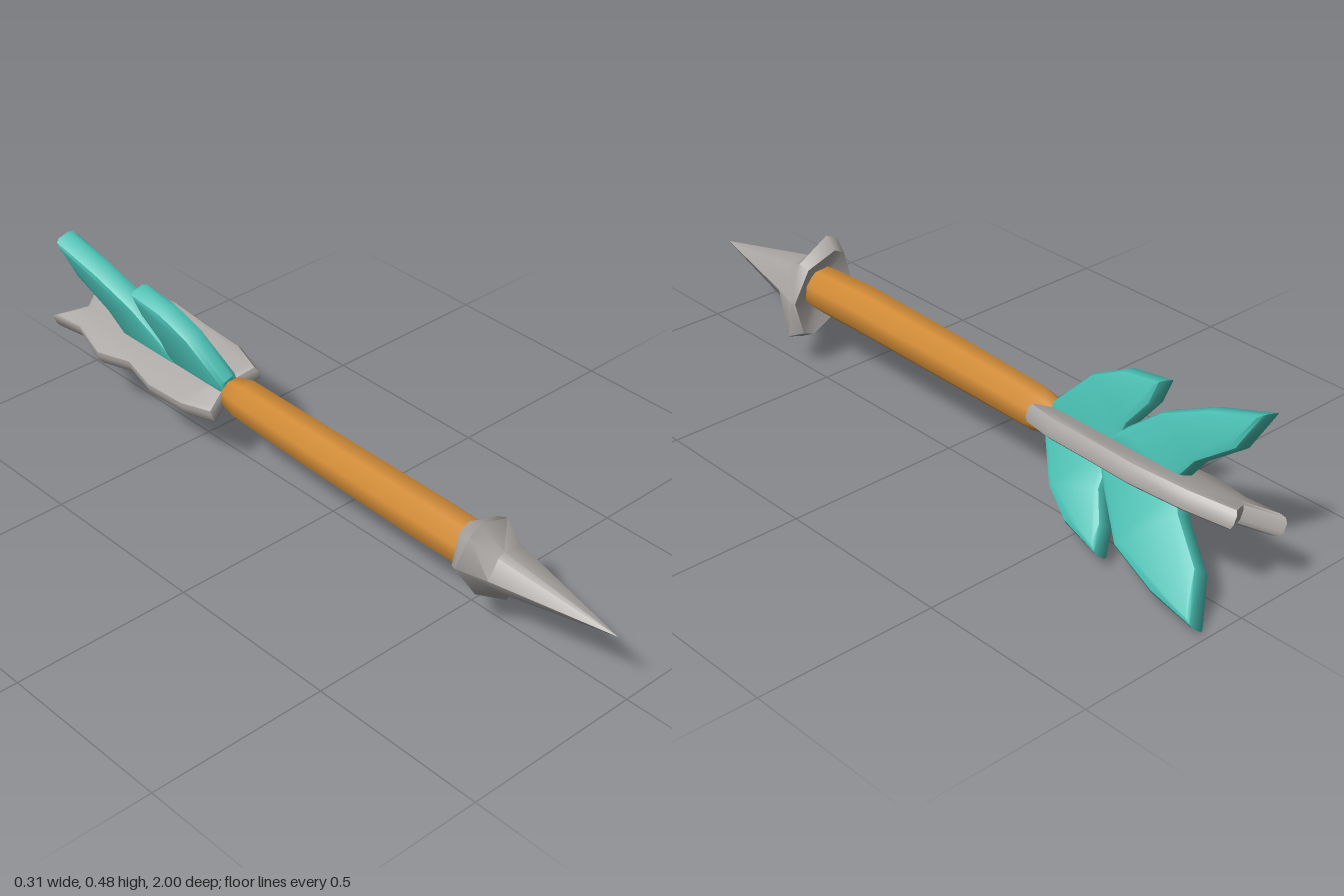
import * as THREE from 'three';
import { toCreasedNormals } from 'three/addons/utils/BufferGeometryUtils.js';

const CENTRE = [-0.045, 0.215];

// Skin a list of rings, ordered from front to back, each running anticlockwise seen from the front
function loft(rings, crease) {
  const n = rings[0].length;
  const index = [];
  for (let i = 0; i < rings.length - 1; i++) {
    for (let j = 0; j < n; j++) {
      const a = i * n + j, b = i * n + (j + 1) % n;
      index.push(a, a + n, b, b, a + n, b + n);
    }
  }
  const geo = new THREE.BufferGeometry();
  geo.setAttribute('position', new THREE.Float32BufferAttribute(rings.flat(2), 3));
  geo.setIndex(index);
  return toCreasedNormals(geo, crease);
}

// Thick bevelled blade; outline is [distance from the axis, z], direction is in the xy plane
function blade(outline, dx, dy, thickness) {
  const shape = new THREE.Shape(outline.map(([u, z]) => new THREE.Vector2(u, z)));
  const bevel = 0.016;
  const geo = new THREE.ExtrudeGeometry(shape, {
    depth: thickness - 2 * bevel, bevelThickness: bevel, bevelSize: bevel,
    bevelOffset: -bevel, bevelSegments: 2,
  });
  geo.translate(0, 0, -thickness / 2 + bevel);
  const d = new THREE.Vector3(dx, dy, 0).normalize();
  const along = new THREE.Vector3(0, 0, 1);
  geo.applyMatrix4(new THREE.Matrix4().makeBasis(d, along, d.clone().cross(along)));
  geo.translate(CENTRE[0], CENTRE[1], 0);
  return toCreasedNormals(geo, 0.7);
}

export function createModel() {
  const group = new THREE.Group();
  const wood = new THREE.MeshStandardMaterial({ color: 0xd08a35 });
  const stone = new THREE.MeshStandardMaterial({ color: 0xaaa6a3 });
  const teal = new THREE.MeshStandardMaterial({ color: 0x48bcb0 });
  const add = (name, geo, mat) => {
    const mesh = new THREE.Mesh(geo, mat);
    mesh.name = name;
    group.add(mesh);
  };

  // Shaft: octagonal, tapering at the tail; [z, x, y, radius]
  const shaft = [
    [0.62, -0.058, 0.212, 0.055], [0.55, -0.059, 0.214, 0.06], [0.4, -0.06, 0.217, 0.062],
    [0, -0.052, 0.215, 0.059], [-0.28, -0.043, 0.214, 0.055], [-0.33, -0.043, 0.213, 0.045],
    [-0.38, -0.044, 0.213, 0.02], [-0.38, -0.044, 0.213, 0],
  ].map(([z, x, y, r]) => Array.from({ length: 8 }, (_, i) => {
    const a = (i + 0.5) * Math.PI / 4;
    return [x + r * 1.04 * Math.cos(a), y + r * 1.04 * Math.sin(a), z];
  }));
  add('shaft', loft(shaft, 0.9), wood);

  // Arrowhead: lopsided cone with flared barbs; third value is how far a corner flares
  const tip = [-0.054, 0.205];
  const corners = [
    [0.047, 0.2, 0], [0, 0.295, 0.5], [-0.108, 0.34, 1], [-0.146, 0.32, 1],
    [-0.155, 0.215, 0], [-0.1, 0.12, 0.5], [-0.01, 0.065, 1], [0.033, 0.08, 1],
  ];
  const ring = (scale, depth) => corners.map(([x, y, f]) => [
    tip[0] + (x - tip[0]) * scale(f), tip[1] + (y - tip[1]) * scale(f), depth(f),
  ]);
  add('arrowhead', loft([
    ring(() => 0, () => 1),
    ring(f => 0.76 - 0.26 * f, () => 0.67),
    ring(() => 1, f => 0.585 + 0.035 * f),
    ring(f => 0.97 - 0.15 * f, () => 0.572),
    ring(() => 0.45, () => 0.585),
    ring(() => 0, () => 0.59),
  ], 0.8), stone);

  // Teal feathers: a short front lobe and a long rear lobe on each side
  const upper = [-0.28, 0.96], lower = [0.64, -0.77];
  add('upperFrontFeather', blade([
    [0, -0.34], [0.045, -0.34], [0.155, -0.44], [0.2, -0.53], [0.215, -0.645],
    [0.15, -0.63], [0.08, -0.58], [0, -0.56],
  ], ...upper, 0.062), teal);
  add('upperRearFeather', blade([
    [0, -0.5], [0.075, -0.58], [0.15, -0.67], [0.21, -0.8], [0.256, -0.95],
    [0.15, -0.9], [0.075, -0.8], [0, -0.75],
  ], ...upper, 0.066), teal);
  add('lowerFrontFeather', blade([
    [0, -0.34], [0.045, -0.35], [0.155, -0.44], [0.21, -0.53], [0.24, -0.655],
    [0.17, -0.63], [0.1, -0.58], [0, -0.56],
  ], ...lower, 0.066), teal);
  add('lowerRearFeather', blade([
    [0, -0.5], [0.1, -0.59], [0.2, -0.69], [0.25, -0.84], [0.272, -0.98],
    [0.15, -0.92], [0.06, -0.81], [0, -0.77],
  ], ...lower, 0.07), teal);

  // Grey vane crossing the feathers, with a forked tail
  add('crossVane', blade([
    [0, -0.35], [0.085, -0.32], [0.115, -0.42], [0.12, -0.55], [0.13, -0.7], [0.105, -0.85],
    [0.055, -0.965], [-0.015, -0.93], [-0.095, -1], [-0.085, -0.89], [-0.12, -0.77],
    [-0.095, -0.66], [-0.12, -0.55], [-0.115, -0.42], [-0.09, -0.32],
  ], 0.91, 0.41, 0.055), stone);

  return group;
}
